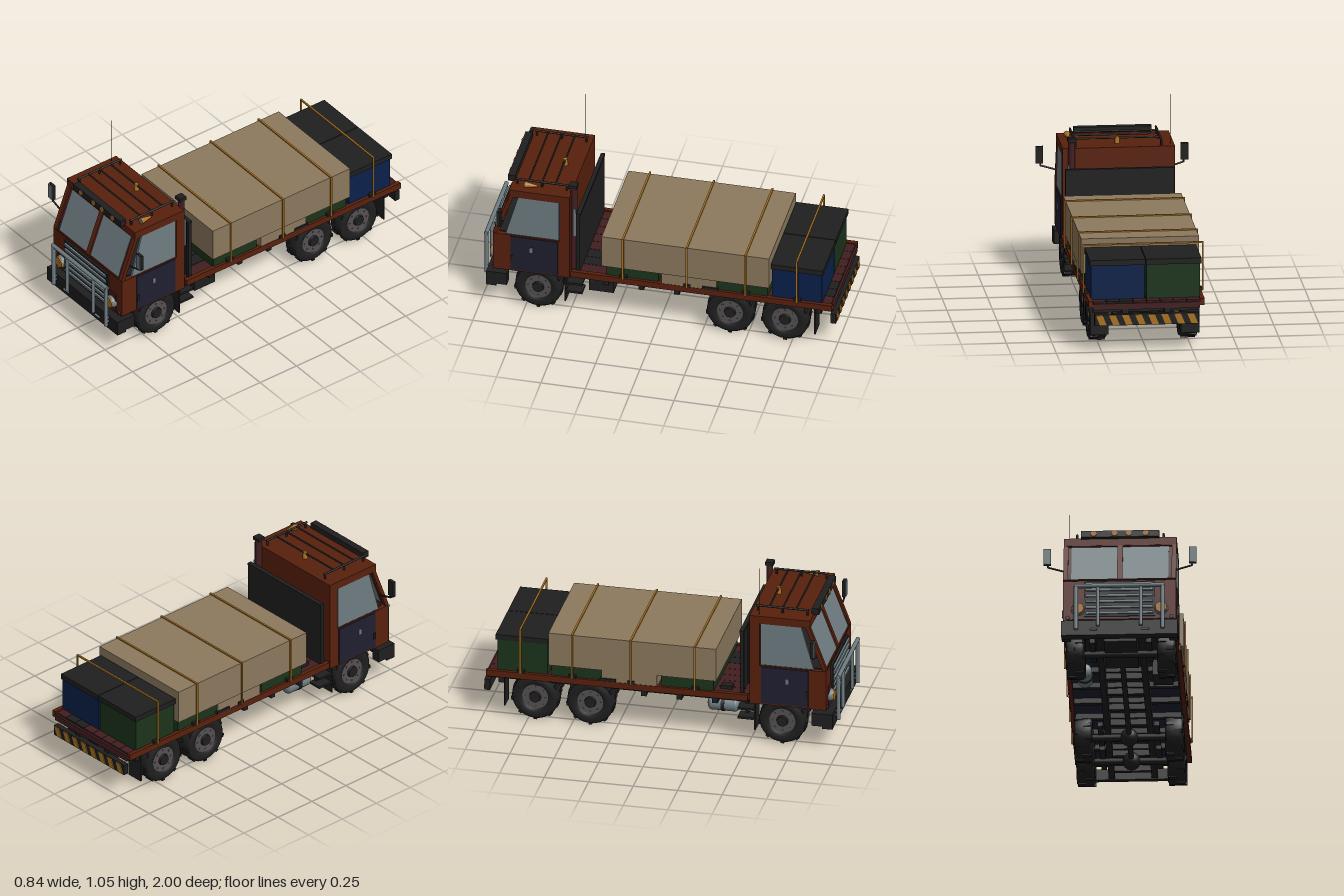
import * as THREE from 'three';

const mat = (name, color, side = THREE.FrontSide) => {
  const m = new THREE.MeshStandardMaterial({ color, side });
  m.name = name;
  return m;
};

export function createModel() {
  const rust = mat('rust orange', 0x59200d), black = mat('black', 0x1f1f1f), maroon = mat('maroon', 0x421e20);
  const navy = mat('navy', 0x201f31), blue = mat('blue', 0x0a2049), green = mat('green', 0x1b331b);
  const tan = mat('tan canvas', 0x8c795e), grey = mat('glass and steel', 0x6f7d82), amber = mat('amber', 0xab7322);
  const rim = mat('rim grey', 0x555153);
  const model = new THREE.Group();

  const add = (name, geo, m, parent = model) => {
    const mesh = new THREE.Mesh(geo, m);
    mesh.name = name;
    parent.add(mesh);
    return mesh;
  };
  // Box given by its min and max on each axis
  const box = (name, m, x0, x1, y0, y1, z0, z1, parent) =>
    add(name, new THREE.BoxGeometry(x1 - x0, y1 - y0, z1 - z0)
      .translate((x0 + x1) / 2, (y0 + y1) / 2, (z0 + z1) / 2), m, parent);
  // Box repeated on the left and right
  const pair = (name, m, x0, x1, ...r) => {
    box(name + 'Left', m, x0, x1, ...r);
    box(name + 'Right', m, -x1, -x0, ...r);
  };
  // Round rod between two points
  const rod = (name, m, a, b, r, parent, r2 = r, seg = 12) => {
    const p = new THREE.Vector3(...a), q = new THREE.Vector3(...b), d = q.clone().sub(p);
    const mesh = add(name, new THREE.CylinderGeometry(r2, r, d.length(), seg), m, parent);
    mesh.position.copy(p).add(q).multiplyScalar(0.5);
    mesh.quaternion.setFromUnitVectors(new THREE.Vector3(0, 1, 0), d.normalize());
    return mesh;
  };
  // Thin plate from a (z, y) outline, centred on the given x
  const sidePlate = (name, m, pts, x, t) => {
    const s = new THREE.Shape(pts.map(p => new THREE.Vector2(...p)));
    const g = new THREE.ExtrudeGeometry(s, { depth: t, bevelEnabled: false });
    return add(name, g.translate(0, 0, -t / 2).rotateY(-Math.PI / 2).translate(x, 0, 0), m);
  };

  // Cab shell
  box('cabLower', rust, -0.31, 0.31, 0.235, 0.47, 0.50, 0.93);
  box('cabSill', black, -0.285, 0.285, 0.47, 0.476, 0.55, 0.90);
  box('cabBack', rust, -0.31, 0.31, 0.47, 0.73, 0.50, 0.555);
  box('cabRoof', rust, -0.31, 0.31, 0.725, 0.77, 0.50, 0.84);
  box('cabFloor', black, -0.20, 0.20, 0.215, 0.235, 0.50, 0.90);
  for (const s of [-1, 1]) {
    sidePlate('sideWindow', grey, [[0.56, 0.475], [0.86, 0.475], [0.79, 0.725], [0.56, 0.725]], s * 0.302, 0.012);
    box('doorPanel', navy, s * 0.311 - 0.004, s * 0.311 + 0.004, 0.245, 0.465, 0.565, 0.83);
    box('doorHandle', grey, s * 0.316 - 0.004, s * 0.316 + 0.004, 0.375, 0.405, 0.705, 0.722);
    box('doorHinge', black, s * 0.316 - 0.005, s * 0.316 + 0.005, 0.30, 0.34, 0.815, 0.83);
  }

  // Sloped windscreen frame with two panes and dark side seals
  const screen = new THREE.Group();
  screen.name = 'windscreen';
  const outline = (x0, x1, y0, y1, T) => new T([[x0, y0], [x1, y0], [x1, y1], [x0, y1]].map(p => new THREE.Vector2(...p)));
  const frame = outline(-0.31, 0.31, 0, 0.285, THREE.Shape);
  frame.holes.push(outline(-0.284, -0.015, 0.004, 0.262, THREE.Path), outline(0.015, 0.284, 0.004, 0.262, THREE.Path));
  add('windscreenFrame', new THREE.ExtrudeGeometry(frame, { depth: 0.022, bevelEnabled: false }), rust, screen);
  for (const s of [-1, 1]) box('windscreenPane', grey, s * 0.1405 - 0.126, s * 0.1405 + 0.126, 0.004, 0.263, 0.005, 0.013, screen);
  pair('windscreenSeal', maroon, 0.2665, 0.285, 0.055, 0.263, 0.003, 0.011, screen);
  pair('windscreenCorner', black, 0.2665, 0.285, 0.003, 0.055, 0.003, 0.013, screen);
  screen.position.set(0, 0.47, 0.912);
  screen.rotation.x = -0.363;
  model.add(screen);

  // Grille and headlights
  box('grilleSurround', maroon, -0.262, 0.262, 0.235, 0.36, 0.93, 0.936);
  box('grillePanel', black, -0.195, 0.195, 0.25, 0.46, 0.93, 0.943);
  for (let i = 0; i < 6; i++) box('grilleSlat', grey, -0.185, 0.185, 0.261 + i * 0.035, 0.275 + i * 0.035, 0.942, 0.954);
  for (const s of [-1, 1]) {
    rod('headlightHousing', grey, [s * 0.228, 0.295, 0.93], [s * 0.228, 0.295, 0.953], 0.038, model, 0.034, 24);
    rod('headlightLens', amber, [s * 0.228, 0.295, 0.95], [s * 0.228, 0.295, 0.96], 0.034, model, 0.031, 24);
    rod('sideLamp', maroon, [s * 0.285, 0.247, 0.93], [s * 0.285, 0.247, 0.938], 0.012);
  }

  // Front bumper and bull bar
  box('frontBumper', black, -0.32, 0.32, 0.127, 0.215, 0.91, 0.967);
  pair('bumperEnd', black, 0.27, 0.32, 0.14, 0.215, 0.85, 0.91);
  rod('bullBarTop', grey, [-0.249, 0.415, 0.984], [0.249, 0.415, 0.984], 0.012);
  for (const s of [-1, 1]) {
    rod('bullBarPost', grey, [s * 0.238, 0.155, 0.984], [s * 0.238, 0.415, 0.984], 0.012);
    rod('bullBarInnerPost', grey, [s * 0.118, 0.175, 0.982], [s * 0.118, 0.41, 0.982], 0.010);
    rod('bullBarFoot', grey, [s * 0.122, 0.158, 0.972], [s * 0.162, 0.158, 0.972], 0.006);
    for (const y of [0.18, 0.205]) rod('bullBarMount', grey, [s * 0.238, y, 0.95], [s * 0.238, y, 0.984], 0.007);
  }

  // Mirrors on bent arms
  for (const s of [-1, 1]) {
    box('mirrorHousing', black, s * 0.40 - 0.021, s * 0.40 + 0.021, 0.595, 0.69, 0.865, 0.883);
    box('mirrorFace', grey, s * 0.40 - 0.018, s * 0.40 + 0.018, 0.598, 0.687, 0.882, 0.888);
    rod('mirrorPost', black, [s * 0.395, 0.58, 0.873], [s * 0.395, 0.60, 0.873], 0.005);
    rod('mirrorArm', black, [s * 0.305, 0.555, 0.873], [s * 0.395, 0.582, 0.873], 0.005);
  }

  // Roof rack, lamps, horn, beacon and aerial
  for (const s of [-1, 1]) {
    rod('rackRail', black, [s * 0.237, 0.80, 0.52], [s * 0.237, 0.80, 0.82], 0.006);
    for (const z of [0.53, 0.67, 0.81]) rod('rackPost', black, [s * 0.237, 0.765, z], [s * 0.237, 0.80, z], 0.006);
  }
  for (const z of [0.595, 0.67, 0.745]) rod('rackBar', black, [-0.237, 0.80, z], [0.237, 0.80, z], 0.005);
  box('lightBar', black, -0.215, 0.215, 0.765, 0.802, 0.828, 0.868);
  for (const x of [-0.145, -0.03, 0.047, 0.142])
    rod('roofLamp', amber, [x, 0.784, 0.86], [x, 0.784, 0.873], 0.017, model, 0.016, 16);
  rod('airHorn', amber, [0.26, 0.785, 0.76], [0.26, 0.785, 0.69], 0.018, model, 0.005, 16);
  rod('hornMouth', tan, [0.26, 0.785, 0.757], [0.26, 0.785, 0.763], 0.018, model, 0.018, 16);
  rod('beacon', amber, [0, 0.77, 0.595], [0, 0.808, 0.595], 0.015, model, 0.012, 16);
  rod('aerial', black, [-0.288, 0.76, 0.55], [-0.288, 1.05, 0.55], 0.0014, model, 0.0014, 6);

  // Exhaust stack and headboard behind the cab
  rod('exhaustStack', maroon, [0.262, 0.26, 0.485], [0.262, 0.81, 0.485], 0.019, model, 0.019, 16);
  box('exhaustGuard', grey, 0.276, 0.284, 0.50, 0.68, 0.47, 0.484);
  box('exhaustCap', black, 0.238, 0.284, 0.812, 0.832, 0.465, 0.51);
  box('headboard', black, -0.295, 0.295, 0.28, 0.65, 0.443, 0.455);
  for (const x of [-0.29, -0.15, 0, 0.15, 0.29]) box('headboardPost', black, x - 0.01, x + 0.01, 0.25, 0.66, 0.444, 0.464);
  box('headboardTop', black, -0.30, 0.30, 0.65, 0.664, 0.44, 0.464);

  // Flat bed
  pair('bedRail', rust, 0.295, 0.32, 0.25, 0.287, -0.98, 0.49);
  box('bedUnderside', navy, -0.296, 0.296, 0.235, 0.255, -0.97, 0.49);
  for (let i = 0; i < 8; i++)
    box('bedPlank', i === 5 || i === 6 ? black : maroon,
      -0.295 + i * 0.07375, -0.2235 + i * 0.07375, 0.255, 0.28, -0.97, 0.49);
  box('bedTail', maroon, -0.295, 0.295, 0.235, 0.27, -0.982, -0.97);
  box('bedToolbox', black, -0.255, -0.21, 0.28, 0.30, 0.325, 0.39);

  // Chassis
  pair('frameRail', black, 0.10, 0.135, 0.155, 0.237, -0.97, 0.92);
  for (let z = -0.9; z < 0.5; z += 0.2) {
    box('crossMember', black, -0.29, 0.29, 0.205, 0.237, z - 0.015, z + 0.015);
    box('frameTie', black, -0.10, 0.10, 0.165, 0.20, z - 0.012, z + 0.012);
  }
  rod('driveShaft', black, [0, 0.155, 0.6], [0, 0.145, -0.7], 0.015);
  box('engineSump', black, -0.09, 0.09, 0.14, 0.235, 0.5, 0.85);
  box('batteryBox', black, 0.16, 0.27, 0.145, 0.235, 0.26, 0.40);
  rod('airTank', grey, [-0.215, 0.175, 0.27], [-0.215, 0.175, 0.40], 0.042, model, 0.042, 20);
  rod('airTankBand', black, [-0.215, 0.175, 0.325], [-0.215, 0.175, 0.345], 0.045, model, 0.045, 20);
  for (const z of [0.27, 0.40])
    add('airTankEnd', new THREE.SphereGeometry(0.042, 20, 12).scale(1, 1, 0.6), grey).position.set(-0.215, 0.175, z);
  for (const y of [0.13, 0.185]) pair('cabStep', black, 0.22, 0.30, y, y + 0.012, 0.43, 0.52);
  pair('stepBracket', black, 0.225, 0.24, 0.13, 0.24, 0.46, 0.48);
  pair('frontMudFlap', black, 0.20, 0.30, 0.07, 0.235, 0.522, 0.53);
  pair('rearMudFlap', black, 0.20, 0.30, 0.07, 0.235, -0.884, -0.876);

  // Rear bumper with slanted warning stripes
  box('rearBumper', black, -0.288, 0.288, 0.15, 0.212, -0.996, -0.965);
  pair('bumperBracket', black, 0.10, 0.135, 0.16, 0.24, -0.975, -0.94);
  for (let i = 0; i < 8; i++) {
    const x = -0.282 + i * 0.072;
    const s = new THREE.Shape([[x, 0.153], [x + 0.037, 0.153], [x + 0.06, 0.209], [x + 0.023, 0.209]].map(p => new THREE.Vector2(...p)));
    add('warningStripe', new THREE.ExtrudeGeometry(s, { depth: 0.005, bevelEnabled: false }), amber).position.z = -1;
  }

  // Wheels: tyre, tread lugs, rim and hub, outer side towards +x
  const tyreProfile = [[0.07, 0.038], [0.088, 0.05], [0.118, 0.05], [0.131, 0.036], [0.131, -0.036],
    [0.118, -0.05], [0.088, -0.05], [0.07, -0.038]].reverse().map(p => new THREE.Vector2(...p));
  const wheel = (side, z) => {
    const w = new THREE.Group();
    w.name = 'wheel';
    add('tyre', new THREE.LatheGeometry(tyreProfile, 32).rotateZ(-Math.PI / 2), black, w);
    for (let i = 0; i < 18; i++) {
      const lug = add('treadLug', new THREE.BoxGeometry(0.042, 0.01, 0.02).translate(i % 2 ? 0.022 : -0.022, 0.131, 0), black, w);
      lug.rotation.x = i * Math.PI / 9;
    }
    rod('innerDrum', black, [-0.046, 0, 0], [0.01, 0, 0], 0.084, w, 0.084, 28);
    rod('rim', rim, [0, 0, 0], [0.04, 0, 0], 0.08, w, 0.08, 28);
    rod('hub', black, [0.03, 0, 0], [0.052, 0, 0], 0.036, w, 0.03, 16);
    for (let i = 0; i < 8; i++) {
      const a = i * Math.PI / 4, y = Math.cos(a) * 0.058, k = Math.sin(a) * 0.058;
      rod('wheelNut', rim, [0.038, y, k], [0.044, y, k], 0.005, w, 0.005, 6);
    }
    w.position.set(side * 0.25, 0.138, z);
    if (side < 0) w.rotation.y = Math.PI;
    model.add(w);
  };
  for (const z of [0.68, -0.40, -0.71]) {
    wheel(1, z);
    wheel(-1, z);
    rod('axle', black, [-0.24, 0.14, z], [0.24, 0.14, z], 0.02);
    if (z < 0) add('differential', new THREE.SphereGeometry(0.05, 20, 14), black).position.set(0, 0.14, z);
    pair('leafSpring', black, 0.14, 0.17, 0.15, 0.175, z - 0.13, z + 0.13);
  }

  // Canvas-covered load on crates
  box('canvasLoad', tan, -0.325, 0.325, 0.355, 0.55, -0.628, 0.315);
  box('canvasDrop', tan, -0.318, 0.318, 0.28, 0.36, -0.33, -0.02);
  box('frontCrate', green, -0.305, 0.305, 0.28, 0.36, 0.0, 0.295);
  box('middleCrate', green, -0.305, 0.305, 0.28, 0.36, -0.615, -0.33);

  // Rear boxes with lids
  for (const [s, m] of [[1, blue], [-1, green]]) {
    box('rearBox', m, s * 0.153 - 0.148, s * 0.153 + 0.148, 0.28, 0.475, -0.92, -0.638);
    box('rearBoxLid', black, s * 0.155 - 0.153, s * 0.155 + 0.153, 0.472, 0.503, -0.928, -0.634);
  }

  // Tie-down straps and ratchets
  for (const [z, top] of [[0.195, 0.553], [-0.165, 0.553], [-0.495, 0.553], [-0.785, 0.556]]) {
    box('strapTop', amber, -0.334, 0.334, top - 0.004, top + 0.004, z - 0.005, z + 0.005);
    pair('strapSide', amber, 0.326, 0.334, 0.285, top, z - 0.005, z + 0.005);
    pair('ratchet', black, 0.305, 0.325, 0.285, 0.305, z - 0.02, z + 0.02);
  }
  pair('lashingBar', black, 0.308, 0.325, 0.29, 0.306, -0.34, -0.25);

  return model;
}
